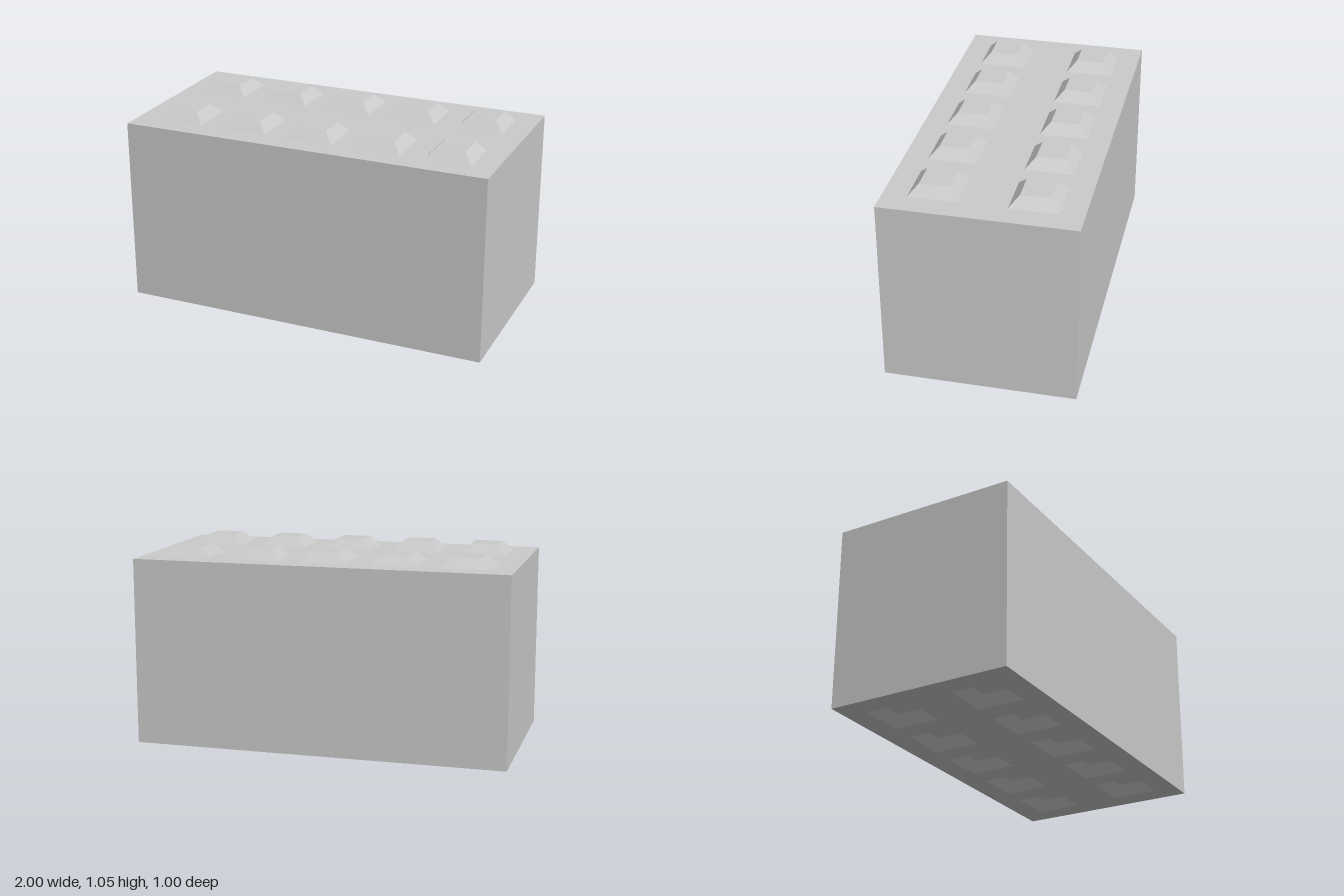
import * as THREE from 'three';
import { mergeGeometries } from 'three/addons/utils/BufferGeometryUtils.js';

const WIDTH = 2, HEIGHT = 1, DEPTH = 1;
const BASE = 0.25, TIP = 0.152, RISE = 0.053;   // stud base, stud top, stud height
const COLUMNS = [-0.75, -0.375, 0, 0.375, 0.75];
const ROWS = [-0.25, 0.25];

const material = new THREE.MeshStandardMaterial({ color: 0xcccccc, flatShading: true });

function addMesh(parent, name, geometry) {
  const mesh = new THREE.Mesh(geometry, material);
  mesh.name = name;
  parent.add(mesh);
  return mesh;
}

// Square frustum standing on y = 0, open at the base
function frustumGeometry(inward) {
  const sides = new THREE.CylinderGeometry(TIP / Math.SQRT2, BASE / Math.SQRT2, RISE, 4, 1, true)
    .rotateY(Math.PI / 4).translate(0, RISE / 2, 0);
  const cap = new THREE.PlaneGeometry(TIP, TIP).rotateX(-Math.PI / 2).translate(0, RISE, 0);
  const geometry = mergeGeometries([sides, cap]);
  // Reversed faces turn the stud into a recess
  if (inward) geometry.setIndex(Array.from(geometry.index.array).reverse());
  const flat = geometry.toNonIndexed();
  flat.computeVertexNormals();
  return flat;
}

// Rectangular panel with a square opening at every stud position
function panelGeometry() {
  const rectangle = (PathType, x, y, w, h) => new PathType([
    new THREE.Vector2(x - w / 2, y - h / 2), new THREE.Vector2(x + w / 2, y - h / 2),
    new THREE.Vector2(x + w / 2, y + h / 2), new THREE.Vector2(x - w / 2, y + h / 2),
  ]);
  const shape = rectangle(THREE.Shape, 0, 0, WIDTH, DEPTH);
  for (const x of COLUMNS) {
    for (const z of ROWS) shape.holes.push(rectangle(THREE.Path, x, z, BASE, BASE));
  }
  return new THREE.ShapeGeometry(shape);
}

export function createModel() {
  const model = new THREE.Group();
  model.name = 'buildingBlock';

  // Four side walls: a box without its top and bottom faces
  const walls = new THREE.BoxGeometry(WIDTH, HEIGHT, DEPTH).translate(0, HEIGHT / 2, 0);
  const faces = Array.from(walls.index.array);
  walls.setIndex([...faces.slice(0, 12), ...faces.slice(24)]);
  walls.clearGroups();
  addMesh(model, 'sideWalls', walls);

  // Top and bottom panels
  addMesh(model, 'topPanel', panelGeometry().rotateX(-Math.PI / 2).translate(0, HEIGHT, 0));
  addMesh(model, 'bottomPanel', panelGeometry().rotateX(Math.PI / 2));

  // Studs on top, with matching sockets underneath
  const studs = new THREE.Group();
  studs.name = 'studs';
  const sockets = new THREE.Group();
  sockets.name = 'sockets';
  model.add(studs, sockets);
  const studGeometry = frustumGeometry(false);
  const socketGeometry = frustumGeometry(true);
  for (const x of COLUMNS) {
    for (const z of ROWS) {
      addMesh(studs, 'stud', studGeometry).position.set(x, HEIGHT, z);
      addMesh(sockets, 'socket', socketGeometry).position.set(x, 0, z);
    }
  }
  return model;
}
